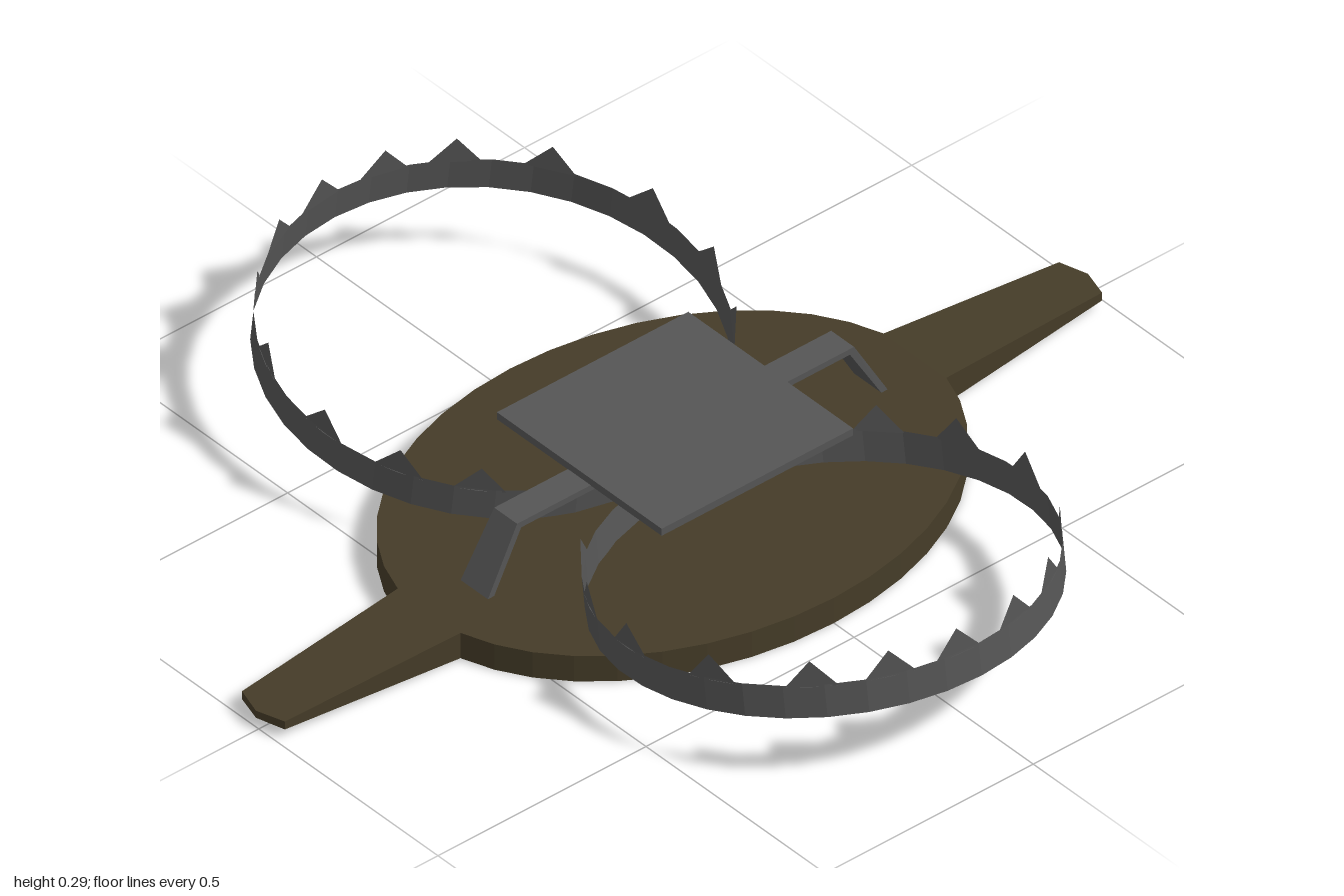
import * as THREE from 'three';

const steel = new THREE.MeshStandardMaterial({ color: 0x555555, flatShading: true, side: THREE.DoubleSide });
const rust = new THREE.MeshStandardMaterial({ color: 0x453c28, flatShading: true });

function part(name, geometry, material) {
  const mesh = new THREE.Mesh(geometry, material);
  mesh.name = name;
  return mesh;
}

// Oval base plate with a tapering handle at each end
function basePlate() {
  const height = 0.058, rx = 0.452, rz = 0.595, pts = [];
  const a0 = Math.asin(0.0875 / rx), steps = 18;
  for (const s of [1, -1]) {
    for (let i = 0; i <= steps; i++) {
      const a = a0 + (Math.PI - 2 * a0) * i / steps;
      pts.push(new THREE.Vector2(s * rx * Math.sin(a), s * rz * Math.cos(a)));
    }
    pts.push(new THREE.Vector2(s * 0.06, s * -0.982), new THREE.Vector2(0, s * -1), new THREE.Vector2(s * -0.06, s * -0.982));
  }
  const g = new THREE.ExtrudeGeometry(new THREE.Shape(pts), { depth: height, bevelEnabled: false });
  g.rotateX(-Math.PI / 2);
  // Thin the handles toward their tips
  const p = g.attributes.position;
  for (let i = 0; i < p.count; i++) {
    const t = Math.max(0, (Math.abs(p.getZ(i)) - 0.59) / 0.41);
    p.setY(i, height / 2 + (p.getY(i) - height / 2) * (1 - 0.72 * t));
  }
  g.translate(-0.008, 0, 0);
  g.computeVertexNormals();
  return part('basePlate', g, rust);
}

// Thin ring with triangular teeth, tilted up away from the hinge
function jaw(name, side) {
  const R = 0.44, band = 0.07, tooth = 0.052, half = 6.5;
  const group = new THREE.Group();
  group.name = name;
  const ring = new THREE.CylinderGeometry(R, R, band, 36, 1, true);
  ring.translate(0, band / 2, 0);
  group.add(part('jawBand', ring, steel));

  const angles = [-126, -105, -81, -54, -31, -13, 6, 24, 43, 68, 94, 116, 136];
  const verts = [];
  const at = (deg, y) => {
    const a = THREE.MathUtils.degToRad(deg);
    return [side * R * Math.cos(a), y, R * Math.sin(a)];
  };
  for (const a of angles) {
    verts.push(...at(a - half, band - 0.004), ...at(a, band + tooth), ...at(a + half, band - 0.004));
    verts.push(...at(a - half, band - 0.004), ...at(a + half, band - 0.004), ...at(a, band - 0.004));
  }
  const teeth = new THREE.BufferGeometry();
  teeth.setAttribute('position', new THREE.Float32BufferAttribute(verts, 3));
  teeth.computeVertexNormals();
  group.add(part('jawTeeth', teeth, steel));

  group.rotation.z = side * THREE.MathUtils.degToRad(7.5);
  group.position.set(side * 0.467, 0.11, 0.04);
  return group;
}

// Bent strap that bridges the base and carries the trigger plate
function strap() {
  const profile = [
    [-0.485, 0.05], [-0.405, 0.19], [0.405, 0.19], [0.485, 0.05],
    [0.47, 0.05], [0.395, 0.177], [-0.395, 0.177], [-0.47, 0.05],
  ].map(([z, y]) => new THREE.Vector2(z, y));
  const g = new THREE.ExtrudeGeometry(new THREE.Shape(profile), { depth: 0.064, bevelEnabled: false });
  g.translate(0, 0, -0.032);
  g.rotateY(-Math.PI / 2);
  // Flare the feet
  const p = g.attributes.position;
  for (let i = 0; i < p.count; i++) if (p.getY(i) < 0.1) p.setX(i, p.getX(i) * 1.2);
  g.translate(-0.002, 0, 0);
  g.computeVertexNormals();
  return part('strap', g, steel);
}

export function createModel() {
  const model = new THREE.Group();
  model.name = 'jawTrap';
  const plate = part('triggerPlate', new THREE.BoxGeometry(0.46, 0.016, 0.46), steel);
  plate.position.set(-0.002, 0.197, -0.002);
  model.add(basePlate(), strap(), plate, jaw('leftJaw', 1), jaw('rightJaw', -1));
  return model;
}
